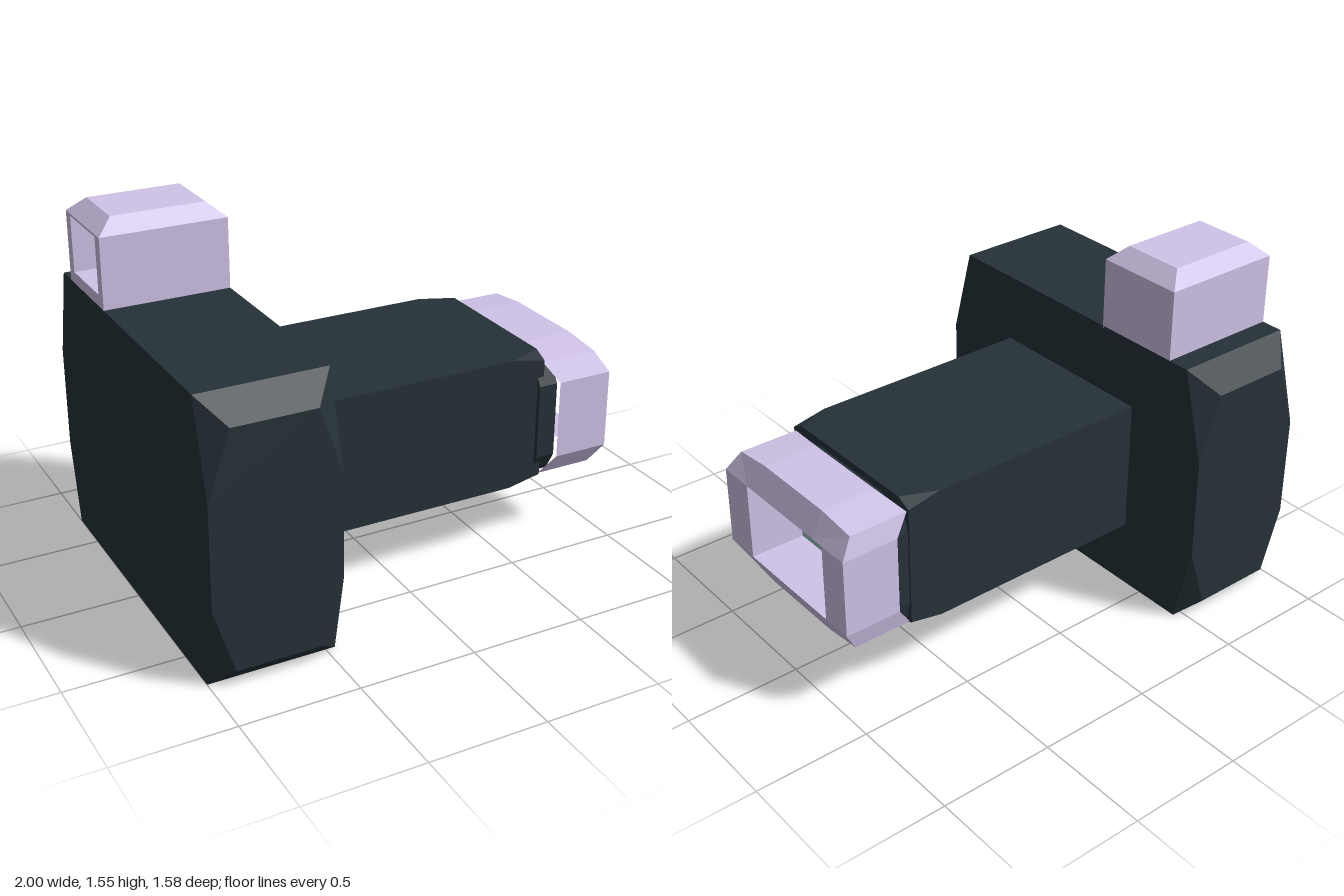
import * as THREE from 'three';
import { ConvexGeometry } from 'three/addons/geometries/ConvexGeometry.js';

const V = (x, y, z) => new THREE.Vector3(x, y, z);
const clamp = THREE.MathUtils.clamp;
const paint = (color) => new THREE.MeshStandardMaterial({ color, flatShading: true });

// Joins successive rings of points with flat quads
function loft(rings) {
  const points = [];
  for (let r = 0; r + 1 < rings.length; r++) {
    const p = rings[r], q = rings[r + 1], n = p.length;
    for (let i = 0; i < n; i++) {
      const j = (i + 1) % n;
      for (const t of [[p[i], p[j], q[j]], [p[i], q[j], q[i]]]) {
        const tri = new THREE.Triangle(...t);
        if (tri.getArea() > 1e-7) points.push(...t);
      }
    }
  }
  const g = new THREE.BufferGeometry().setFromPoints(points);
  g.computeVertexNormals();
  return g;
}

export function createModel() {
  const model = new THREE.Group();
  const dark = paint(0x263238), lilac = paint(0xd1c4e9), teal = paint(0x92c0bc);
  teal.side = THREE.DoubleSide;
  const add = (name, geometry, material) => {
    const mesh = new THREE.Mesh(geometry, material);
    mesh.name = name;
    model.add(mesh);
    return mesh;
  };

  // Body: slab with faceted ends
  const body = [];
  for (const z of [-1, 1]) for (const x of [-1, 1]) {
    body.push(
      V(-0.73 + 0.27 * x, 1.19, 0.685 * z), V(-0.73 + 0.27 * x, 0, 0.71 * z),
      V(-0.73 + 0.27 * x, 0.8, 0.79 * z), V(-0.73 + 0.27 * x, 0.36, 0.79 * z),
      V(-0.73 + 0.175 * x, 1.085, 0.79 * z), V(-0.73 + 0.18 * x, 0.08, 0.79 * z));
  }
  add('body', new ConvexGeometry(body), dark);

  // Barrel: box with its four outer corners cut off
  const barrel = [];
  for (const y of [-1, 1]) for (const z of [-1, 1]) {
    barrel.push(
      V(-0.5, 0.595 + 0.295 * y, 0.393 * z), V(0.54, 0.595 + 0.295 * y, 0.393 * z),
      V(0.69, 0.595 + 0.265 * y, 0.393 * z), V(0.69, 0.595 + 0.295 * y, 0.33 * z));
  }
  add('barrel', new ConvexGeometry(barrel), dark);

  // Hood outline: z, y, back x, front x
  const quarter = [[0.2, 0.28, 0.71, 0.95], [0.38, 0.26, 0.69, 0.95], [0.415, 0.172, 0.75, 1]];
  const outline = [];
  for (const [sz, sy] of [[1, 1], [1, -1], [-1, -1], [-1, 1]]) {
    const part = quarter.map(([z, y, b, f]) => [sz * z + (z > 0.4 ? 0.015 : 0), 0.588 + sy * y, b, f]);
    outline.push(...(sz * sy > 0 ? part : part.reverse()));
  }
  const opening = (x) => outline.map(([z, y]) => V(x, clamp(y, 0.416, 0.76), clamp(z, -0.26, 0.27)));
  add('hood', loft([
    outline.map(([z, y, b]) => V(b, y, z)),
    outline.map(([z, y, , f]) => V(f, y, z)),
    opening(1), opening(0.755)]), lilac);

  // Collar closing the back of the hood
  const collar = [];
  for (const [z, y] of outline) {
    for (const x of [0.66, 0.745]) collar.push(V(x, 0.588 + (y - 0.588) * 0.96, z * 0.96));
  }
  add('collar', new ConvexGeometry(collar), dark);

  const lens = add('lensGlass', new THREE.PlaneGeometry(0.53, 0.344), teal);
  lens.rotation.y = Math.PI / 2;
  lens.position.set(0.76, 0.588, 0.005);

  // Viewfinder: hip-topped housing with an eyepiece recess
  const section = [[-0.59, 1.18], [-0.59, 1.49], [-0.53, 1.55], [-0.26, 1.55], [-0.2, 1.49], [-0.2, 1.18]];
  const full = (x) => section.map(([z, y]) => V(x, y, z));
  const low = (x) => section.map(([z, y]) => V(x, Math.min(y, 1.49), y > 1.5 ? (z < -0.4 ? -0.59 : -0.2) : z));
  const recess = (x) => section.map(([z, y]) => V(x, clamp(y, 1.24, 1.48), clamp(z, -0.54, -0.25)));
  add('viewfinder', loft([
    recess(-0.88), recess(-1), low(-1), full(-0.93), full(-0.53), low(-0.46),
    section.map(() => V(-0.46, 1.3, -0.395))]), lilac);

  const eyepiece = add('eyepieceGlass', new THREE.PlaneGeometry(0.29, 0.24), teal);
  eyepiece.rotation.y = -Math.PI / 2;
  eyepiece.position.set(-0.885, 1.36, -0.395);

  return model;
}
